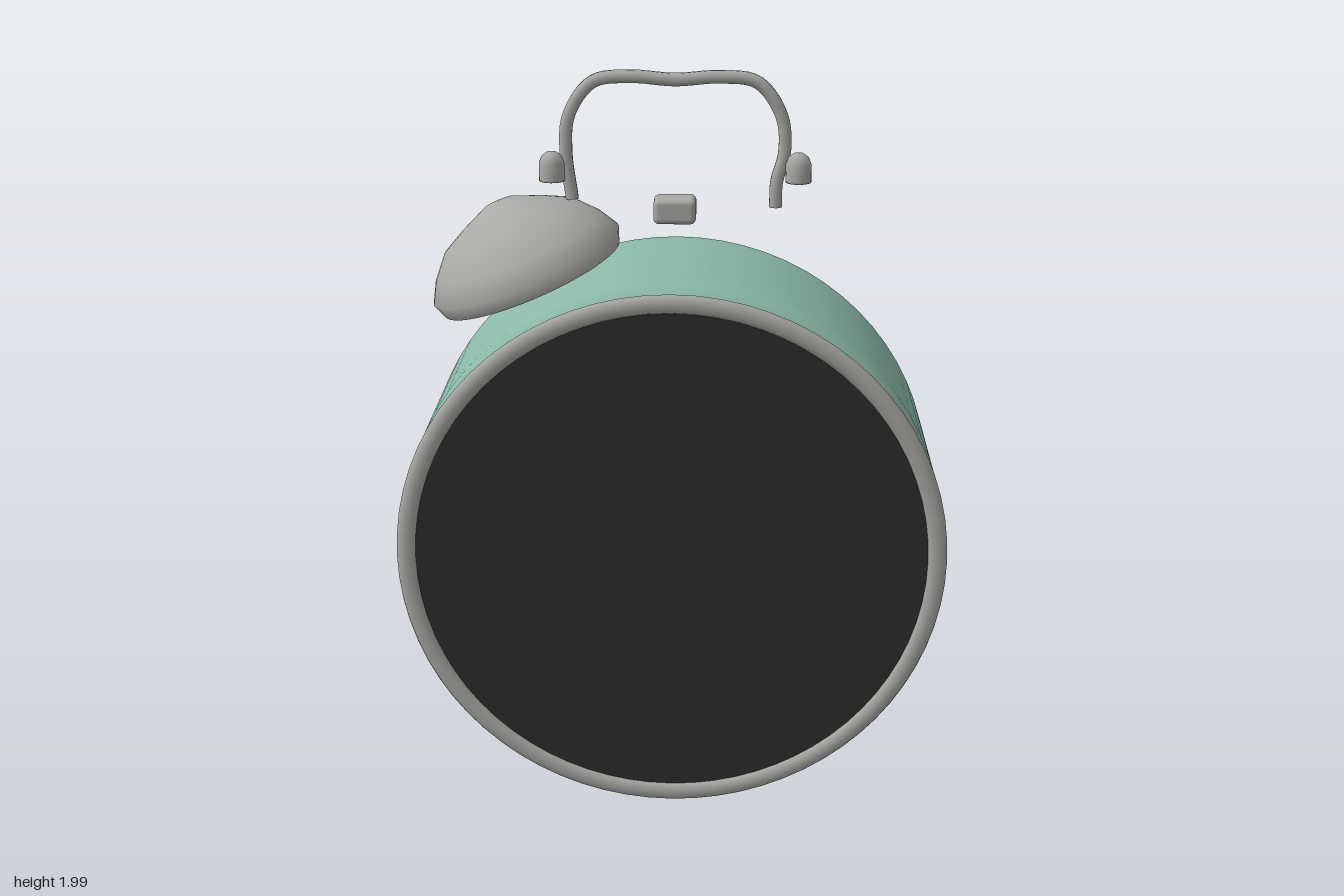
import * as THREE from 'three';
import { RoundedBoxGeometry } from 'three/addons/geometries/RoundedBoxGeometry.js';

export function createModel() {
  const model = new THREE.Group();
  model.name = 'alarmClock';
  const CY = 0.748; // height of the dial centre

  const makeMaterial = (name, color) => {
    const m = new THREE.MeshStandardMaterial({ color, side: THREE.DoubleSide });
    m.name = name;
    return m;
  };
  const green = makeMaterial('sage green', 0x8ab8a8);
  const metal = makeMaterial('warm grey metal', 0xa8a9a6);
  const dark = makeMaterial('charcoal', 0x2c2c2c);

  const add = (name, geometry, material, x = 0, y = 0, z = 0) => {
    const mesh = new THREE.Mesh(geometry, material);
    mesh.name = name;
    mesh.position.set(x, y, z);
    model.add(mesh);
    return mesh;
  };
  const lathe = (points, segments = 64) =>
    new THREE.LatheGeometry(points.map(([r, h]) => new THREE.Vector2(r, h)), segments);
  // Turned part whose axis runs along z
  const latheZ = (points, segments) => lathe(points, segments).rotateX(Math.PI / 2);

  // Drum body with bevelled rims
  add('body', latheZ([
    [0, -0.31], [0.64, -0.31], [0.685, -0.31], [0.725, -0.285], [0.74, -0.235],
    [0.74, -0.2], [0.74, 0.2], [0.74, 0.24], [0.725, 0.295], [0.67, 0.32], [0.64, 0.32], [0, 0.32],
  ], 72), green, 0, CY, 0);

  // Front ring and dial
  const ring = add('bezel', new THREE.TorusGeometry(0.716, 0.026, 10, 72), metal, 0, CY, 0.365);
  ring.scale.z = 0.6;
  add('dial', latheZ([[0, -0.005], [0.702, -0.005], [0.702, 0.005], [0, 0.005]]), dark, 0, CY, 0.362);

  // Back plate, battery cover and two setting knobs
  add('backPlate', latheZ([[0, -0.007], [0.66, -0.007], [0.66, 0.007], [0, 0.007]]), dark, 0, CY, -0.332);
  add('batteryCover', new RoundedBoxGeometry(0.44, 0.35, 0.024, 2, 0.006), dark, 0, 0.475, -0.347);
  for (const side of [-1, 1]) {
    add('settingKnob', latheZ([
      [0, -0.023], [0.034, -0.023], [0.042, -0.016], [0.042, 0.023], [0, 0.023],
    ], 20), dark, side * 0.235, 0.94, -0.359);
  }

  // Tilted bell, open underneath
  const bell = add('bell', lathe([
    [0.262, 0], [0.277, 0.04], [0.246, 0.095], [0.195, 0.153], [0.125, 0.19], [0.045, 0.226], [0, 0.23],
  ], 48), metal, -0.395, 1.43, 0);
  bell.rotation.z = 0.385;

  // Top button
  add('topButton', new RoundedBoxGeometry(0.115, 0.07, 0.085, 3, 0.015), metal, 0, 1.625, 0);

  // Bent carrying handle
  const path = new THREE.CatmullRomCurve3([
    [-0.28, 1.65], [-0.295, 1.78], [-0.285, 1.88], [-0.22, 1.968], [-0.12, 1.982], [0, 1.974],
    [0.12, 1.982], [0.22, 1.968], [0.285, 1.88], [0.295, 1.78], [0.275, 1.7], [0.273, 1.63],
  ].map(([x, y]) => new THREE.Vector3(x, y, -0.014)));
  add('handle', new THREE.TubeGeometry(path, 64, 0.018, 10), metal);
  for (const [x, y] of [[-0.28, 1.65], [0.273, 1.63]]) {
    const cap = add('handleEnd', new THREE.CircleGeometry(0.018, 10), metal, x, y, -0.014);
    cap.rotation.x = Math.PI / 2;
  }

  for (const side of [-1, 1]) {
    // Domed nut beside each end of the handle
    add('handleNut', lathe([
      [0, 0], [0.035, 0], [0.035, 0.005], [0.035, 0.048], [0.027, 0.068], [0.014, 0.078], [0, 0.08],
    ], 20), metal, side * 0.333, 1.702, 0);
    // Slanted foot
    const foot = add('foot', new RoundedBoxGeometry(0.095, 0.17, 0.13, 4, 0.025), metal, side * 0.43, 0.112, 0.008);
    foot.rotation.z = -side * 0.53;
  }

  return model;
}
